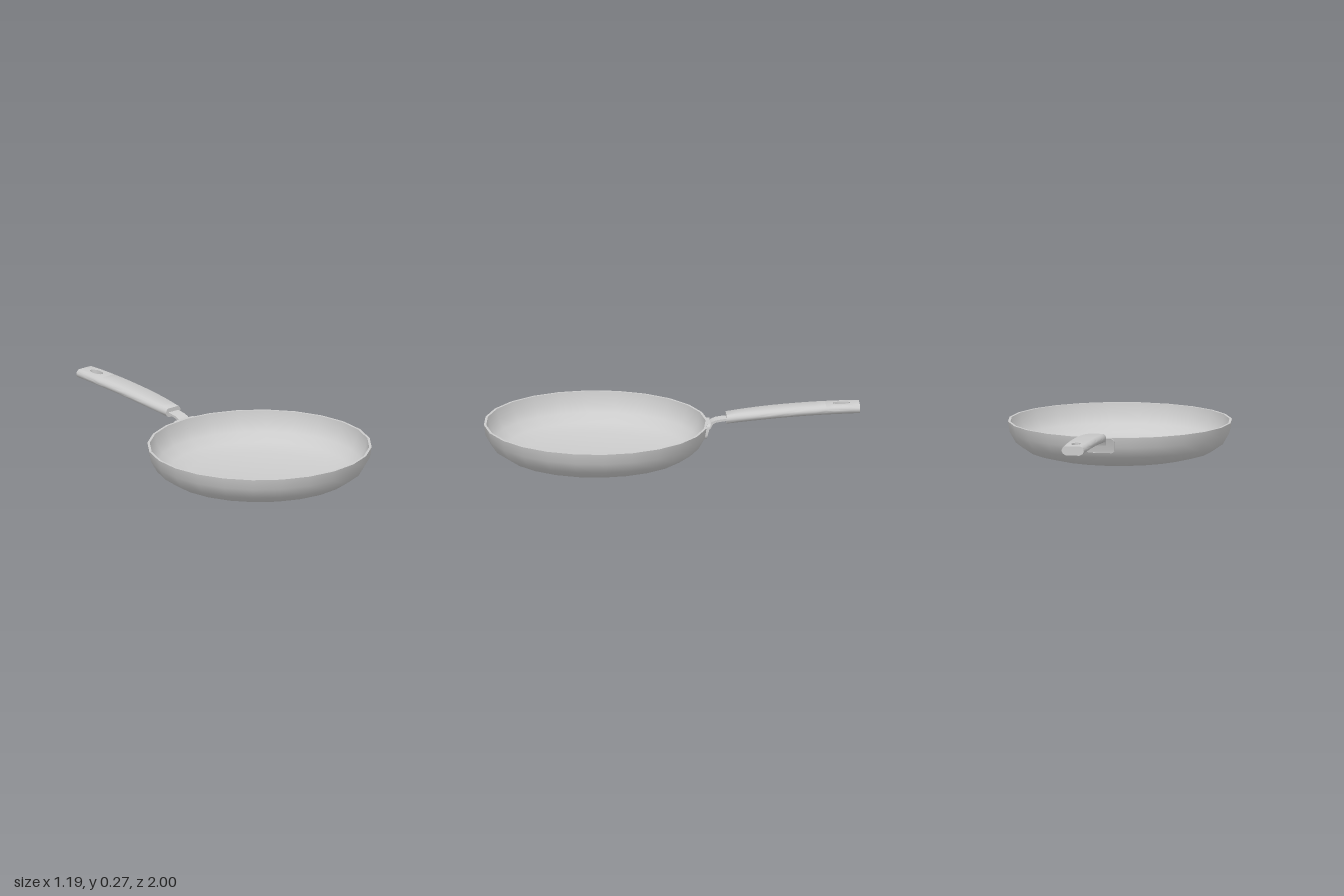
import * as THREE from 'three';
import { toCreasedNormals } from 'three/addons/utils/BufferGeometryUtils.js';

const material = new THREE.MeshStandardMaterial({ color: 0xcccccc });
const v2 = (x, y) => new THREE.Vector2(x, y);

function part(name, geometry, crease = 0.7) {
  const mesh = new THREE.Mesh(toCreasedNormals(geometry, crease), material);
  mesh.name = name;
  return mesh;
}

// Move every vertex of a geometry by a rule
function warp(geometry, rule) {
  const p = geometry.attributes.position;
  for (let i = 0; i < p.count; i++) p.setXYZ(i, ...rule(p.getX(i), p.getY(i), p.getZ(i)));
  return geometry;
}

// Linear lookup in a short table of [key, value] pairs with rising keys
function lookup(table, k) {
  let i = 1;
  while (i < table.length - 1 && k > table[i][0]) i++;
  const [a, b] = [table[i - 1], table[i]];
  return THREE.MathUtils.mapLinear(k, a[0], b[0], a[1], b[1]);
}

// Handle shape: half width and centre height along z, relative width over its thickness
const WIDTHS = [[-1, 0.06], [-0.9, 0.065], [-0.75, 0.068], [-0.5, 0.067], [-0.4, 0.062], [-0.29, 0.051]];
const ROUNDING = [0.62, 0.86, 0.97, 1, 0.98, 0.9, 0.72];
const STEPS = ROUNDING.length - 1;
const THICK = 0.049, SPLIT = -0.82, FRONT = -0.29;
const halfWidth = z => lookup(WIDTHS, z);
const centreY = z => 0.267 - THICK / 2 - 0.045 * ((z + 1) / 0.71) ** 2;
const rounding = t => ROUNDING[Math.round(t * STEPS)];

// Front part of the handle: rounded section swept along the curve
function gripGeometry() {
  const right = ROUNDING.map((f, i) => v2(f, i / STEPS - 0.5));
  const left = right.map(p => v2(-p.x, p.y)).reverse();
  const g = new THREE.ExtrudeGeometry(new THREE.Shape([...right, ...left]),
    { depth: 1, steps: 10, bevelEnabled: false });
  return warp(g, (x, y, s) => {
    const z = SPLIT + s * (FRONT - SPLIT);
    return [x * halfWidth(z), centreY(z) + y * THICK, z];
  });
}

// Rear part of the handle, with the hanging hole
function gripEndGeometry() {
  const zs = [SPLIT, -0.86, -0.9, -0.95, -1];
  const right = zs.map(z => v2(halfWidth(z), -z));
  const left = right.map(p => v2(-p.x, p.y)).reverse();
  const shape = new THREE.Shape([...right, ...left]);
  const hole = new THREE.Path();
  hole.absellipse(0, 0.905, 0.024, 0.045, 0, Math.PI * 2, true);
  shape.holes.push(hole);
  const g = new THREE.ExtrudeGeometry(shape,
    { depth: 1, steps: STEPS, curveSegments: 16, bevelEnabled: false });
  return warp(g, (x, v, t) => [
    Math.abs(x) > 0.03 ? x * rounding(t) : x,
    centreY(-v) + (t - 0.5) * THICK,
    -v,
  ]);
}

// Thin bent strap between pan and handle, drawn as (-z, y)
function strapGeometry() {
  const top = [[0.187, 0.15], [0.2, 0.172], [0.212, 0.184], [0.235, 0.193], [0.27, 0.198], [0.31, 0.202]];
  const bottom = [[0.31, 0.19], [0.27, 0.186], [0.238, 0.181], [0.22, 0.173], [0.211, 0.16], [0.204, 0.145]];
  const g = new THREE.ExtrudeGeometry(new THREE.Shape([...top, ...bottom].reverse().map(p => v2(...p))),
    { depth: 0.068, bevelEnabled: false });
  return g.translate(0, 0, -0.034).rotateY(Math.PI / 2);
}

// Rounded plate fixed to the pan wall
function plateGeometry() {
  const w = 0.078, h = 0.04, r = 0.02;
  const s = new THREE.Shape();
  s.absarc(w - r, h - r, r, 0, Math.PI / 2);
  s.absarc(-w + r, h - r, r, Math.PI / 2, Math.PI);
  s.absarc(-w + r, -h + r, r, Math.PI, Math.PI * 1.5);
  s.absarc(w - r, -h + r, r, Math.PI * 1.5, Math.PI * 2);
  const g = new THREE.ExtrudeGeometry(s, { depth: 0.018, curveSegments: 5, bevelEnabled: false });
  // Lean with the wall and follow its curve slightly
  return warp(g, (x, y, z) => [x, y + 0.141, z - 0.197 - y * 0.27 + x * x * 0.9]);
}

export function createModel() {
  const model = new THREE.Group();

  // Pan bowl: outer wall up to the rim, then the inner wall back down
  const profile = [
    [0, 0], [0.39, 0], [0.49, 0.026], [0.555, 0.07], [0.588, 0.128], [0.597, 0.184],
    [0.584, 0.184], [0.575, 0.132], [0.544, 0.079], [0.484, 0.039], [0.39, 0.014], [0, 0.014],
  ].map(p => v2(...p));
  const pan = part('pan', new THREE.LatheGeometry(profile, 24));
  pan.position.z = 0.403;
  model.add(pan);

  const handle = new THREE.Group();
  handle.name = 'handle';
  handle.add(
    part('grip', gripGeometry()),
    part('gripEnd', gripEndGeometry()),
    part('strap', strapGeometry()),
    part('mountingPlate', plateGeometry()),
  );
  model.add(handle);
  return model;
}
